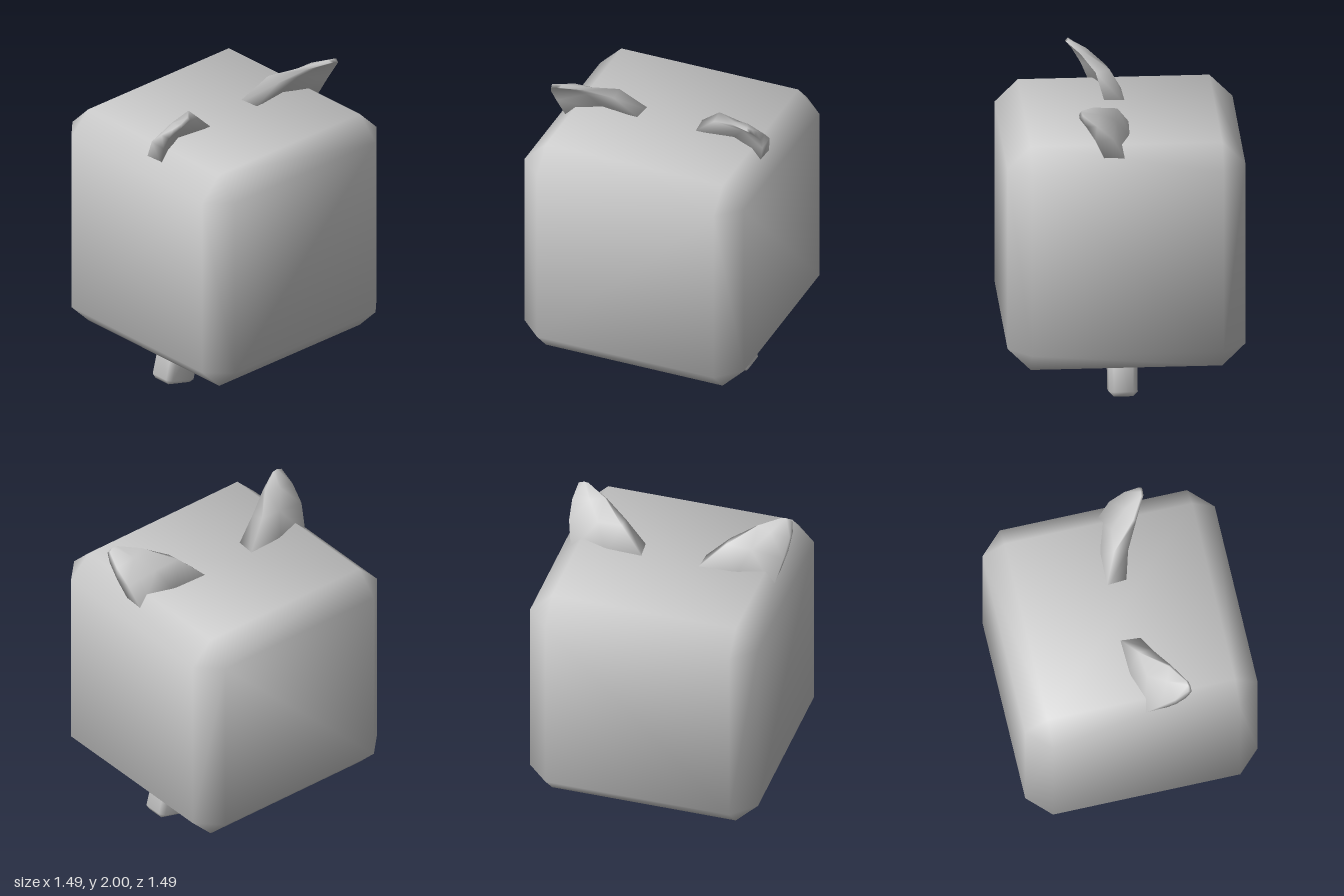
import * as THREE from 'three';
import { ConvexGeometry } from 'three/addons/geometries/ConvexGeometry.js';

const grey = new THREE.MeshStandardMaterial({ color: 0xcccccc });
grey.name = 'plain grey';

// Box with every edge chamfered by b and soft, face-leaning normals
function bevelBox(w, h, d, b) {
  const half = [w / 2, h / 2, d / 2];
  const points = [];
  for (let axis = 0; axis < 3; axis++)
    for (const sx of [-1, 1]) for (const sy of [-1, 1]) for (const sz of [-1, 1]) {
      const p = [sx, sy, sz].map((s, i) => s * (half[i] - (i === axis ? 0 : b)));
      points.push(new THREE.Vector3(...p));
    }
  const geo = new ConvexGeometry(points);
  const pos = geo.attributes.position, nor = geo.attributes.normal;
  const n = new THREE.Vector3();
  for (let i = 0; i < pos.count; i++) {
    const p = [pos.getX(i), pos.getY(i), pos.getZ(i)];
    n.set(...p.map((v, k) => Math.sign(v) * (Math.abs(v) > half[k] - b / 2 ? 4.4 : 1.72))).normalize();
    nor.setXYZ(i, n.x, n.y, n.z);
  }
  return geo;
}

// Ear sections from root to tip: back inner, mid, outer, then front outer, mid, inner
const EAR = [
  [[.15, 1.72, -.06], [.42, 1.72, -.05], [.66, 1.66, 0], [.655, 1.66, .13], [.42, 1.72, .04], [.16, 1.72, .075]],
  [[.34, 1.9, .04], [.5, 1.88, .06], [.70, 1.83, .09], [.70, 1.82, .2], [.53, 1.86, .12], [.34, 1.885, .13]],
  [[.5, 1.97, .2], [.59, 1.955, .17], [.71, 1.92, .19], [.71, 1.92, .26], [.6, 1.94, .22], [.49, 1.955, .215]],
  [[.63, 2, .28], [.66, 2, .285], [.695, 1.99, .28], [.695, 1.97, .3], [.66, 1.98, .3], [.635, 1.985, .295]],
];

function earGeometry(side) {
  const verts = EAR.flat().map(([x, y, z]) => [x * side, y, z]).flat();
  const n = 6, index = [];
  const tri = (a, b, c) => (side > 0 ? index.push(a, b, c) : index.push(a, c, b));
  for (let r = 0; r < EAR.length - 1; r++)
    for (let i = 0; i < n; i++) {
      const a = r * n + i, b = r * n + (i + 1) % n;
      tri(a, a + n, b);
      tri(b, a + n, b + n);
    }
  // close the root and the tip
  const t = (EAR.length - 1) * n;
  for (const [p, q, s, u] of [[0, 1, 4, 5], [1, 2, 3, 4]]) {
    tri(p, q, s); tri(p, s, u);
    tri(t + p, t + s, t + q); tri(t + p, t + u, t + s);
  }
  const geo = new THREE.BufferGeometry();
  geo.setAttribute('position', new THREE.Float32BufferAttribute(verts, 3));
  geo.setIndex(index);
  geo.computeVertexNormals();
  return geo;
}

export function createModel() {
  const model = new THREE.Group();
  model.name = 'cubeCreature';
  const add = (name, geo) => {
    const mesh = new THREE.Mesh(geo, grey);
    mesh.name = name;
    model.add(mesh);
    return mesh;
  };

  add('body', bevelBox(1.49, 1.49, 1.49, 0.145)).position.y = 1.01;

  for (const [side, label] of [[1, 'left'], [-1, 'right']]) {
    add(label + 'Ear', earGeometry(side));
    // stubby legs splayed outwards
    const leg = add(label + 'Leg', bevelBox(0.245, 0.4, 0.18, 0.03));
    leg.position.set(0.403 * side, 0.222, 0.015);
    leg.rotation.z = 0.26 * side;
  }
  return model;
}
